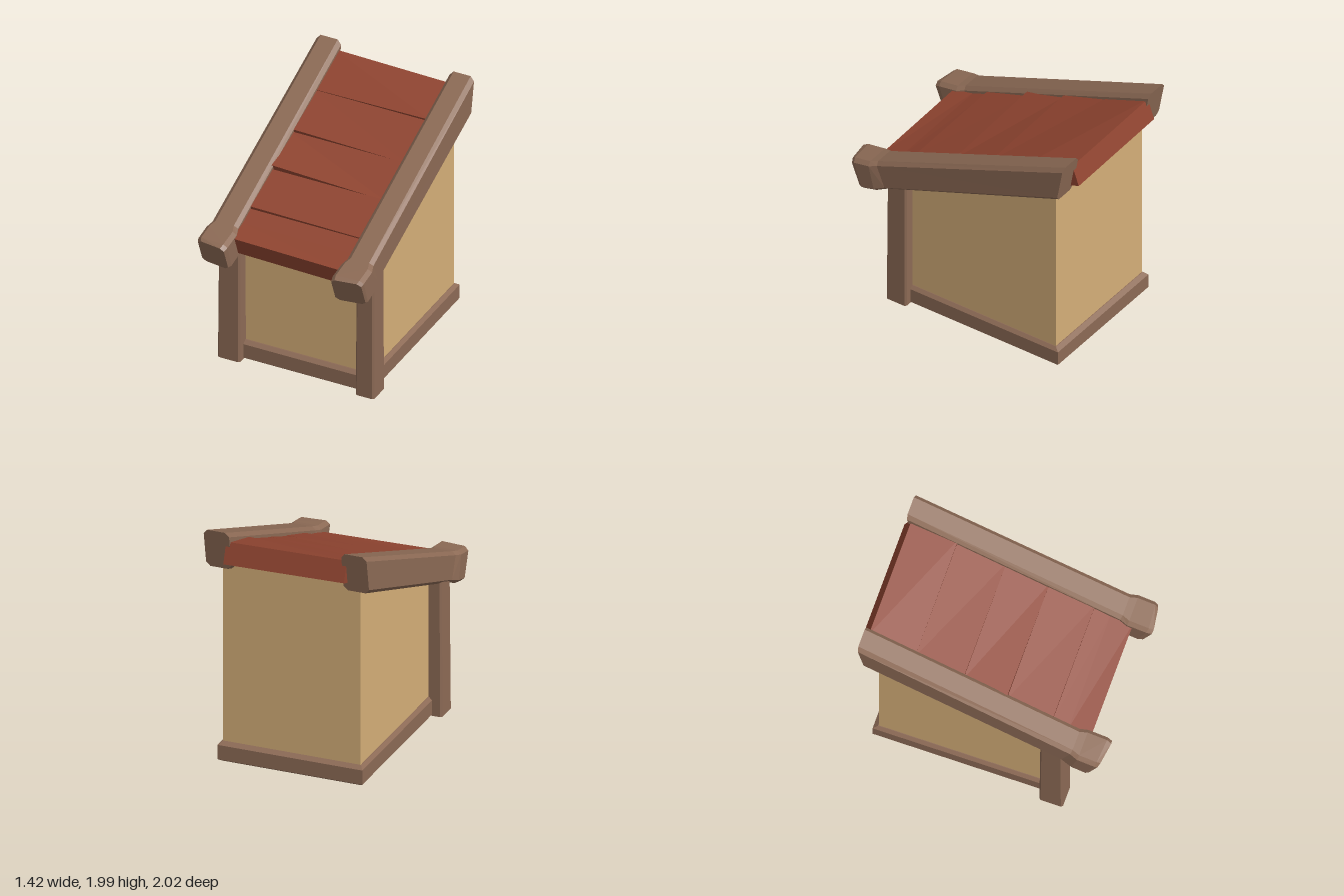
import * as THREE from 'three';

const wood = new THREE.MeshStandardMaterial({ color: 0x8c6a55, flatShading: true });
wood.name = 'brown wood';
const plaster = new THREE.MeshStandardMaterial({ color: 0xd4ae78, flatShading: true });
plaster.name = 'tan wall';
const red = new THREE.MeshStandardMaterial({ color: 0x8f4430, flatShading: true });
red.name = 'red roof';

// Closed solid through a list of rings (equal point counts), faces turned outward
function loft(name, rings, material) {
  const tris = [];
  const n = rings[0].length;
  for (let r = 0; r < rings.length - 1; r++) {
    for (let i = 0; i < n; i++) {
      const j = (i + 1) % n;
      const [a, b, c, d] = [rings[r][i], rings[r][j], rings[r + 1][j], rings[r + 1][i]];
      tris.push([a, b, c], [a, c, d]);
    }
  }
  const first = rings[0], last = rings[rings.length - 1];
  for (let i = 1; i < n - 1; i++) {
    tris.push([first[0], first[i + 1], first[i]], [last[0], last[i], last[i + 1]]);
  }
  const volume = tris.reduce((v, [a, b, c]) => v + a.dot(b.clone().cross(c)), 0);
  if (volume < 0) tris.forEach((t) => t.reverse());
  const geometry = new THREE.BufferGeometry().setFromPoints(tris.flat());
  geometry.computeVertexNormals();
  const mesh = new THREE.Mesh(geometry, material);
  mesh.name = name;
  return mesh;
}

const V = (x, y, z) => new THREE.Vector3(x, y, z);

// Unit octagon: a w by h rectangle with corners cut by c, as fractions 0..1
function cutRect(w, h, c) {
  const a = c / w, b = c / h;
  return [[a, 0], [1 - a, 0], [1, b], [1, 1 - b], [1 - a, 1], [a, 1], [0, 1 - b], [0, b]];
}

const rect = (x, z0, z1, y) => [V(-x, y, z0), V(x, y, z0), V(x, y, z1), V(-x, y, z1)];

// Sloping roof beam with a flared, slightly skewed front end
function beam(side) {
  // inner x, outer x, top [z, y], bottom [z, y], z shift of the outer side
  const stations = [
    [0.465, 0.675, [-1.0, 1.99], [-0.94, 1.66], 0],
    [0.47, 0.69, [0.74, 1.295], [0.65, 1.07], 0],
    [0.45, 0.71, [0.8, 1.28], [0.74, 1.03], 0],
    [0.45, 0.71, [0.96, 1.255], [0.87, 1.0], -0.02],
    [0.46, 0.7, [1.0, 1.235], [0.91, 1.005], -0.035],
  ];
  const rings = stations.map(([xi, xo, top, bottom, skew]) =>
    cutRect(xo - xi, 0.3, 0.032).map(([u, v]) => V(
      side * (xi + (xo - xi) * u),
      bottom[1] + (top[1] - bottom[1]) * v,
      bottom[0] + (top[0] - bottom[0]) * v + skew * u)));
  return loft(side > 0 ? 'leftRoofBeam' : 'rightRoofBeam', rings, wood);
}

// Upright front corner post, from inner to outer x at the foot and the top
function post(name, side, foot, head) {
  const ring = ([xi, xo, z0, z1], y) => cutRect(xo - xi, z1 - z0, 0.014).map(([u, v]) =>
    V(side * (xi + (xo - xi) * u), y, z0 + (z1 - z0) * v));
  return loft(name, [ring(foot, 0.01), ring(head, 1.17)], wood);
}

// Roof surface height along z
const roofY = (z) => 1.538 - 0.396 * z;

// Roof cross-section at z, with the top raised at the -x and +x edges
function roofRing(z, y, right, left, yBottom = y - 0.165) {
  return [V(-0.5, y + right, z), V(0.5, y + left, z),
    V(0.5, yBottom + (left < -0.009 ? left : 0), z - 0.06), V(-0.5, yBottom, z - 0.06)];
}

export function createModel() {
  const model = new THREE.Group();
  model.name = 'leanToHut';

  // Bevelled plinth
  model.add(loft('base', [
    rect(0.575, -0.87, 0.575, 0), rect(0.6, -0.9, 0.6, 0.02),
    rect(0.6, -0.9, 0.6, 0.14), rect(0.575, -0.865, 0.57, 0.166),
  ], wood));

  // Walls with a sloping top
  const wallTop = rect(0.57, -0.86, 0.56, 0);
  wallTop.forEach((p) => { p.y = p.z < 0 ? 1.72 : 1.165; });
  model.add(loft('walls', [rect(0.57, -0.86, 0.56, 0.1), wallTop], plaster));

  // Front posts
  model.add(post('rightPost', -1, [0.49, 0.682, 0.475, 0.667], [0.495, 0.675, 0.48, 0.66]));
  model.add(post('leftPost', 1, [0.5, 0.66, 0.48, 0.667], [0.505, 0.655, 0.48, 0.66]));

  // Roof boards: start z, end z, and the lift of the lower edge at -x and +x
  const roof = new THREE.Group();
  roof.name = 'roofBoards';
  const boards = [
    [-0.965, -0.59, 0.003, 0.014],
    [-0.59, -0.2, 0.022, -0.003],
    [-0.2, 0.15, 0.035, -0.006],
    [0.15, 0.52, 0.02, 0.008],
  ];
  boards.forEach(([z0, z1, right, left], i) => roof.add(loft('roofBoard', [
    roofRing(z0, roofY(z0), 0, i ? 0 : -0.02),
    roofRing(z1, roofY(z1), right, left),
  ], red)));
  // Lowest board curls up at the eave
  roof.add(loft('eaveBoard', [
    roofRing(0.52, roofY(0.52), 0, 0),
    roofRing(0.65, 1.28, 0, -0.005),
    roofRing(0.83, 1.24, 0, -0.022, 1.08),
  ], red));
  model.add(roof);

  // Roof beams
  model.add(beam(1), beam(-1));
  return model;
}
